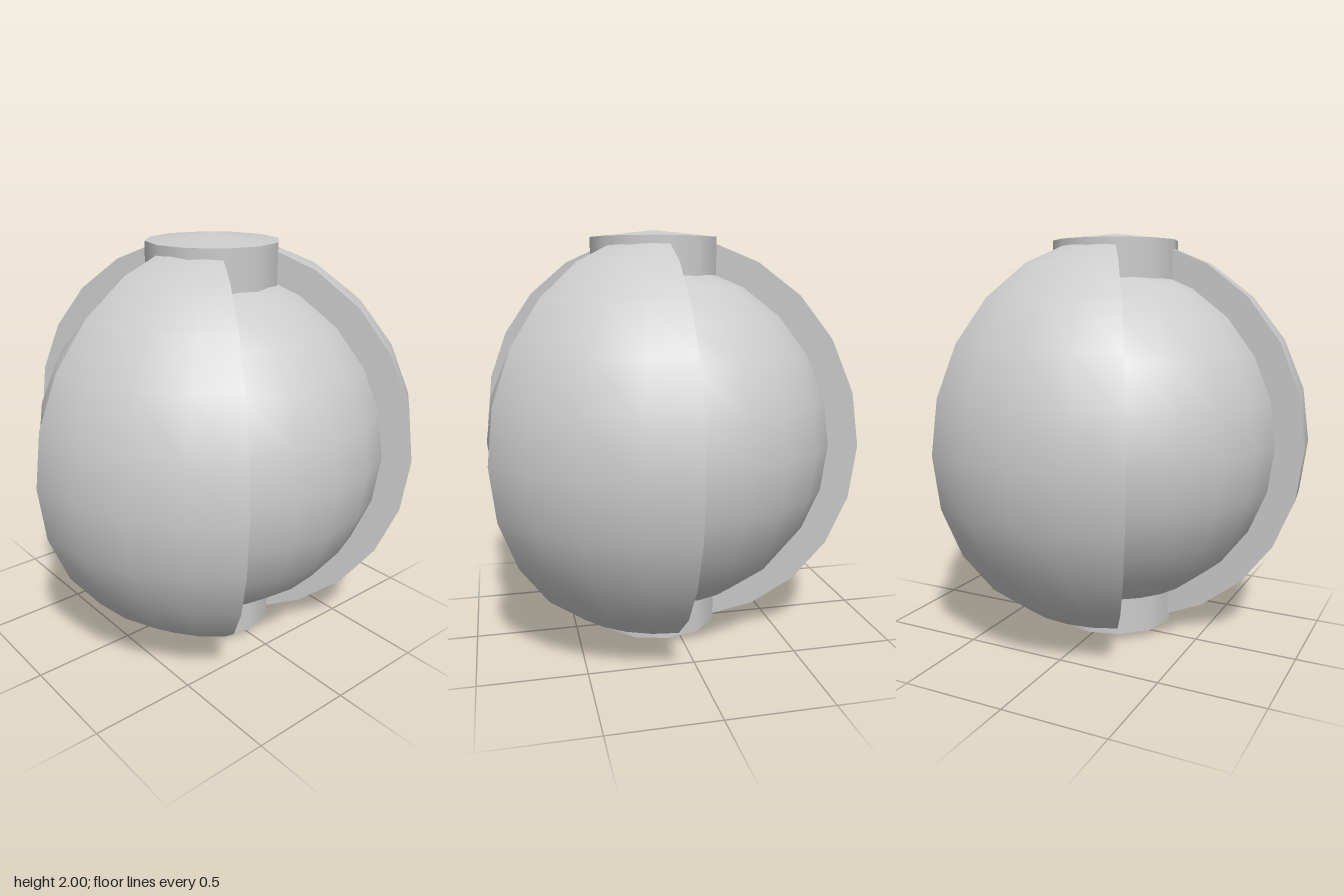
import * as THREE from 'three';

const AXIS_Z = 0.063; // the body axis sits slightly towards the front
const OUTER = 0.98;
const INNER = 0.845;

export function createModel() {
  const model = new THREE.Group();
  const grey = new THREE.MeshStandardMaterial({ color: 0xcccccc });
  const thin = new THREE.MeshStandardMaterial({ color: 0xcccccc, side: THREE.DoubleSide });
  const rad = THREE.MathUtils.degToRad;

  const add = (parent, name, geometry, material, x = 0, y = 0, z = 0) => {
    const mesh = new THREE.Mesh(geometry, material);
    mesh.name = name;
    mesh.position.set(x, y, z);
    parent.add(mesh);
    return mesh;
  };

  // Inner ball
  add(model, 'innerBall', new THREE.SphereGeometry(INNER, 24, 12), grey, 0, 1, AXIS_Z);

  // Three raised segments, each a 58 degree slice closed by two flat walls
  ['rightSegment', 'leftSegment', 'backSegment'].forEach((name, i) => {
    const segment = new THREE.Group();
    segment.name = name;
    segment.position.set(0, 1, AXIS_Z);
    const start = rad(1 + i * 120);
    const length = rad(58);
    add(segment, 'segmentShell', new THREE.SphereGeometry(OUTER, 4, 12, start, length), grey);
    for (const phi of [start, start + length]) {
      const wall = new THREE.CircleGeometry(OUTER, 12, -Math.PI / 2, Math.PI);
      add(segment, 'segmentWall', wall, thin).rotation.y = phi + Math.PI;
    }
    model.add(segment);
  });

  // Twelve-sided axle with a shallow cone at each end
  const axle = new THREE.Group();
  axle.name = 'axle';
  axle.position.set(-0.01, 1, 0.08);
  add(axle, 'axleShaft', new THREE.CylinderGeometry(0.31, 0.31, 1.93, 12, 1, true), grey);
  const tip = new THREE.ConeGeometry(0.31, 0.035, 12, 1, true);
  add(axle, 'topCap', tip, grey, 0, 0.9825, 0);
  add(axle, 'bottomCap', tip, grey, 0, -0.9825, 0).rotation.x = Math.PI;
  model.add(axle);

  return model;
}
